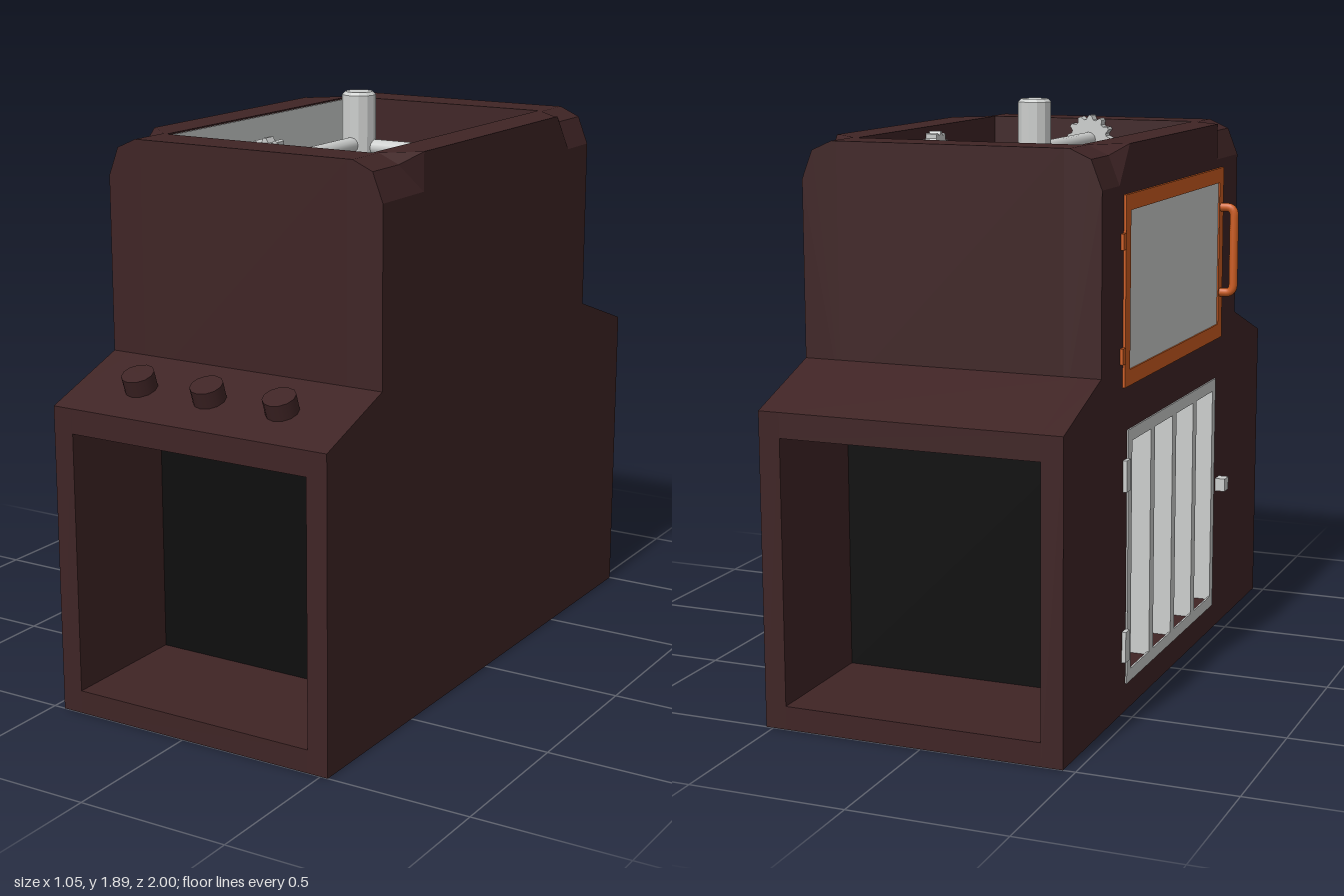
import * as THREE from 'three';

const paint = (name, color) => Object.assign(new THREE.MeshStandardMaterial({ color }), { name });

export function createModel() {
  const root = new THREE.Group();
  root.name = 'stove';
  const brown = paint('dark brown enamel', 0x3f2425);
  const steel = paint('light steel', 0xcccecd);
  const orange = paint('copper orange', 0xcc5c20);
  const black = paint('black', 0x0d0d0d);
  const CX = 0.0325; // middle of the cabinet in x

  const add = (name, geo, mat, x = 0, y = 0, z = 0) => {
    const m = new THREE.Mesh(geo, mat);
    m.name = name;
    m.position.set(x, y, z);
    root.add(m);
    return m;
  };
  // Box given by its limits
  const box = (name, mat, x0, x1, y0, y1, z0, z1) =>
    add(name, new THREE.BoxGeometry(x1 - x0, y1 - y0, z1 - z0), mat,
      (x0 + x1) / 2, (y0 + y1) / 2, (z0 + z1) / 2);
  const poly = pts => new THREE.Shape(pts.map(p => new THREE.Vector2(...p)));
  const rect = (z0, z1, y0, y1) => [[z0, y0], [z1, y0], [z1, y1], [z0, y1]];
  // Extrude a (z, y) outline along x, from x0 to x1
  const sidePlate = (name, mat, outline, holes, x0, x1) => {
    const shape = poly(outline);
    holes.forEach(h => shape.holes.push(poly(h)));
    const geo = new THREE.ExtrudeGeometry(shape, { depth: x1 - x0, bevelEnabled: false });
    geo.rotateY(-Math.PI / 2);
    return add(name, geo, mat, x1);
  };

  // Lower cabinet: side walls, floor, sloped roof, dark core behind both openings
  const cabinet = [[-1, 0], [1, 0], [1, 1], [0.69, 1.11], [-0.69, 1.11], [-1, 1]];
  const roof = [[-1, 0.92], [1, 0.92], ...cabinet.slice(2)];
  sidePlate('leftWall', brown, cabinet, [], 0.455, 0.525);
  sidePlate('rightWall', brown, cabinet, [rect(-0.44, 0.44, 0.12, 0.88)], -0.46, -0.39);
  sidePlate('cabinetRoof', brown, roof, [], -0.39, 0.455);
  box('cabinetFloor', brown, -0.39, 0.455, 0, 0.075, -1, 1);
  box('darkInterior', black, -0.389, 0.455, 0.075, 0.92, -0.55, 0.55);

  // Upper side walls: profile swept along z, top edge chamfered near the corners
  const cut = [[0.3725, 1.0], [0.4925, 1.1], [0.4925, 1.67], [0.4575, 1.76], [0.39, 1.79], [0.3725, 1.79]];
  const full = [...cut.slice(0, 3), [0.4925, 1.79], [0.48, 1.79], cut[5]];
  const stations = [[-0.69, cut], [-0.54, cut], [-0.45, full], [0.45, full], [0.54, cut], [0.69, cut]];
  const upperWall = s => {
    const rings = stations.map(([z, p]) => p.map(([x, y]) => [CX + s * x, y, z]));
    const pos = [];
    const tri = (a, b, c) => pos.push(...(s > 0 ? [a, b, c] : [a, c, b]).flat());
    const n = cut.length;
    for (let i = 0; i < rings.length - 1; i++) {
      for (let j = 0; j < n; j++) {
        const k = (j + 1) % n;
        tri(rings[i][j], rings[i][k], rings[i + 1][k]);
        tri(rings[i][j], rings[i + 1][k], rings[i + 1][j]);
      }
    }
    const first = rings[0], last = rings[rings.length - 1];
    for (let j = 1; j < n - 1; j++) {
      tri(last[0], last[j], last[j + 1]);
      tri(first[0], first[j + 1], first[j]);
    }
    const geo = new THREE.BufferGeometry();
    geo.setAttribute('position', new THREE.Float32BufferAttribute(pos, 3));
    geo.computeVertexNormals();
    return geo;
  };
  add('upperLeftWall', upperWall(1), brown);
  add('upperRightWall', upperWall(-1), brown);
  box('upperFrontWall', brown, -0.34, 0.405, 1.0, 1.79, 0.55, 0.69);
  box('upperBackWall', brown, -0.34, 0.405, 1.0, 1.79, -0.69, -0.55);

  // Sunken tray on top
  box('trayFloor', steel, -0.34, 0.405, 1.59, 1.63, -0.55, 0.55);
  box('trayLiner', steel, -0.34, -0.335, 1.63, 1.785, -0.55, 0.55);

  // Burner with post, two pipes and toothed valve wheels
  const BX = 0.03;
  add('burnerDisc', new THREE.CylinderGeometry(0.155, 0.155, 0.03, 16), steel, BX, 1.645, 0);
  const post = [[0, 1.64], [0.055, 1.64], [0.055, 1.88], [0.045, 1.89], [0, 1.89]];
  const postGeo = new THREE.LatheGeometry(post.map(p => new THREE.Vector2(...p)), 12).toNonIndexed();
  postGeo.computeVertexNormals();
  add('burnerPost', postGeo, steel, BX, 0, 0);
  const wheel = r => {
    const pts = [];
    for (let i = 0; i < 48; i++) {
      const a = (i / 48) * Math.PI * 2, q = i % 4 < 2 ? r : r * 0.82;
      pts.push([q * Math.cos(a), q * Math.sin(a)]);
    }
    return new THREE.ExtrudeGeometry(poly(pts), { depth: 0.04, bevelEnabled: false });
  };
  const pipe = len => new THREE.CylinderGeometry(0.026, 0.026, len, 12);
  add('frontPipe', pipe(0.52), steel, BX, 1.72, 0.26).rotation.x = Math.PI / 2;
  add('frontWheel', wheel(0.08), steel, BX, 1.725, 0.508);
  add('sidePipe', pipe(0.35), steel, 0.205, 1.71, -0.01).rotation.z = Math.PI / 2;
  add('sideWheel', wheel(0.065), steel, 0.364, 1.71, -0.01).rotation.y = Math.PI / 2;

  // Control knobs on the front slope
  for (const x of [-0.235, 0.02, 0.28]) {
    add('knob', new THREE.CylinderGeometry(0.052, 0.052, 0.07, 12), brown, x, 1.07, 0.858)
      .rotation.x = Math.atan2(0.11, 0.31);
  }

  // Slatted steel door on the right side
  const slots = [0, 1, 2, 3].map(i => rect(-0.42 + i * 0.22, -0.24 + i * 0.22, 0.13, 0.87));
  sidePlate('slattedDoor', steel, rect(-0.455, 0.455, 0.09, 0.91), slots, -0.465, -0.459);
  box('doorBacking', steel, -0.395, -0.388, 0.12, 0.88, -0.44, 0.44);
  for (let i = 0; i < 5; i++) {
    const z = -0.44 + i * 0.22;
    box('doorSlat', steel, -0.46, -0.39, 0.12, 0.88, Math.max(z - 0.02, -0.44), Math.min(z + 0.02, 0.44));
  }
  for (const y of [0.22, 0.77]) box('doorHinge', steel, -0.473, -0.455, y - 0.05, y + 0.05, -0.49, -0.455);
  box('doorKnob', steel, -0.495, -0.46, 0.5, 0.545, 0.485, 0.53);

  // Oven window with orange frame, hinges and handle
  sidePlate('windowFrame', orange, rect(-0.5, 0.505, 1.05, 1.64),
    [rect(-0.455, 0.46, 1.1, 1.59)], -0.468, -0.459);
  box('windowPane', steel, -0.463, -0.459, 1.1, 1.59, -0.455, 0.46);
  for (const y of [1.15, 1.5]) {
    box('windowHinge', orange, -0.47, -0.455, y - 0.025, y + 0.025, -0.525, -0.5);
  }
  const bend = new THREE.CurvePath();
  const P = (x, y) => new THREE.Vector3(x, y, 0.48);
  bend.add(new THREE.LineCurve3(P(-0.46, 1.21), P(-0.49, 1.21)));
  bend.add(new THREE.QuadraticBezierCurve3(P(-0.49, 1.21), P(-0.515, 1.21), P(-0.515, 1.24)));
  bend.add(new THREE.LineCurve3(P(-0.515, 1.24), P(-0.515, 1.475)));
  bend.add(new THREE.QuadraticBezierCurve3(P(-0.515, 1.475), P(-0.515, 1.505), P(-0.49, 1.505)));
  bend.add(new THREE.LineCurve3(P(-0.49, 1.505), P(-0.46, 1.505)));
  add('windowHandle', new THREE.TubeGeometry(bend, 48, 0.015, 10), orange);

  return root;
}
